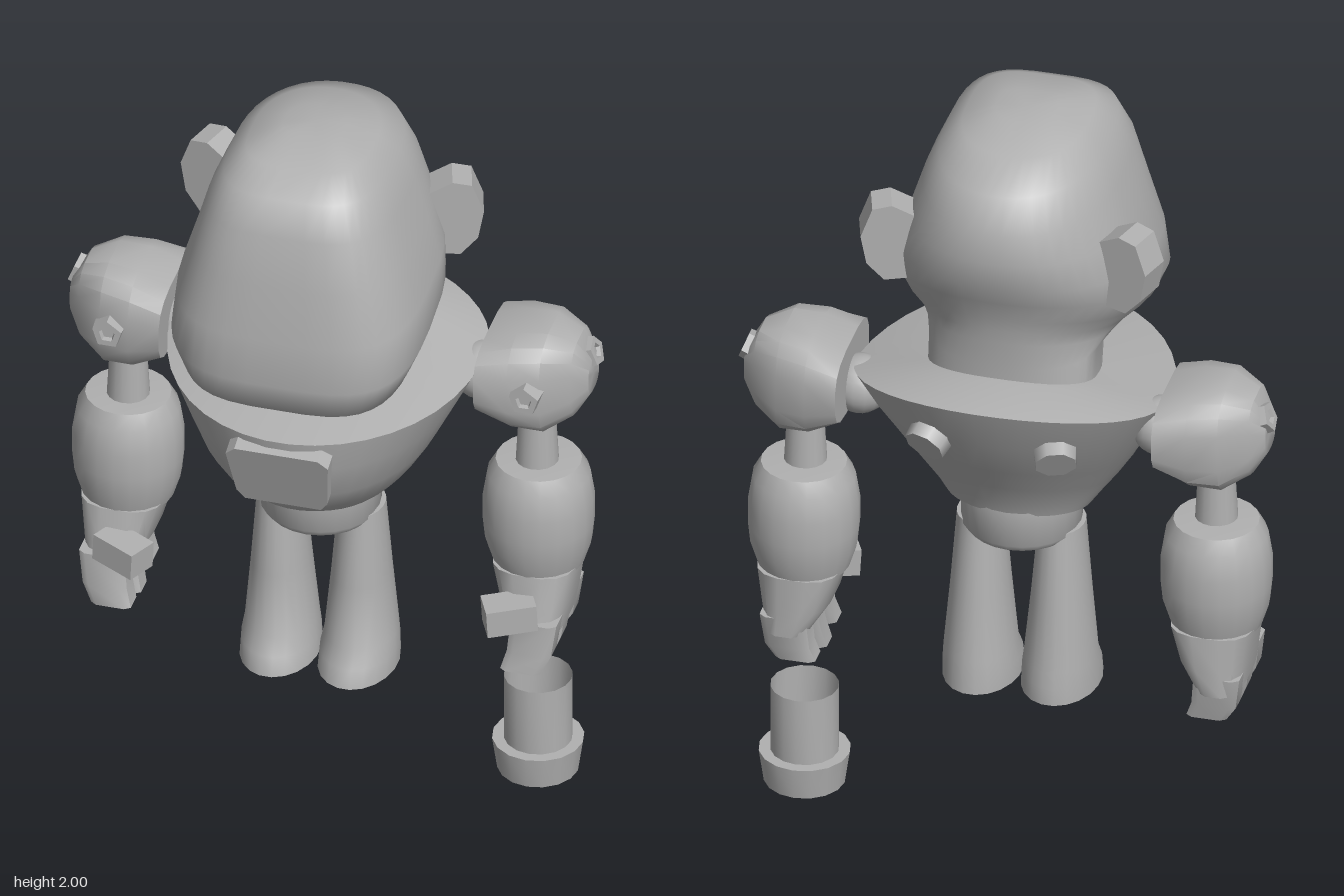
import * as THREE from 'three';
import { toCreasedNormals } from 'three/addons/utils/BufferGeometryUtils.js';

const spow = (v, p) => Math.sign(v) * Math.pow(Math.abs(v), p);

// Lofted skin through closed rings, bottom to top.
// Ring: [yFront, zFront, yBack, zBack, halfWidth, xCentre = 0]
function loft(rings, { seg = 32, nf = 2, nb = 2, mid = 0.5, bend = 1, crease = 0.7 } = {}) {
  const pos = [], index = [];
  for (const [yf, zf, yb, zb, w, cx = 0] of rings) {
    const zm = zb + (zf - zb) * mid;
    for (let j = 0; j < seg; j++) {
      const a = ((j + 0.5) / seg) * Math.PI * 2, s = Math.sin(a);
      const p = 2 / (s > 0 ? nf : nb);
      const z = zm + spow(s, p) * (s > 0 ? zf - zm : zm - zb);
      const t = Math.min(1, Math.max(0, (zf - z) / (zf - zb)));
      pos.push(cx + w * spow(Math.cos(a), p), yf + (yb - yf) * Math.pow(t, bend), z);
    }
  }
  const last = (rings.length - 1) * seg;
  for (let i = 0; i < last; i += seg) {
    for (let j = 0; j < seg; j++) {
      const k = (j + 1) % seg, a = i + j, b = i + k;
      index.push(a, a + seg, b, b, a + seg, b + seg);
    }
  }
  // end caps
  for (const r of [0, rings.length - 1]) {
    const [yf, zf, yb, zb, , cx = 0] = rings[r];
    const c = pos.length / 3;
    pos.push(cx, (yf + yb) / 2, (zf + zb) / 2);
    for (let j = 0; j < seg; j++) {
      const a = r * seg + j, b = r * seg + ((j + 1) % seg);
      if (r === 0) index.push(c, a, b); else index.push(c, b, a);
    }
  }
  const g = new THREE.BufferGeometry();
  g.setAttribute('position', new THREE.Float32BufferAttribute(pos, 3));
  g.setIndex(index);
  return toCreasedNormals(g, crease);
}

const lathe = (pts, seg) =>
  toCreasedNormals(new THREE.LatheGeometry(pts.map(([x, y]) => new THREE.Vector2(x, y)), seg), 0.7);

export function createModel() {
  const grey = new THREE.MeshStandardMaterial({ color: 0xb0b0b0, side: THREE.DoubleSide });
  grey.name = 'plain grey';
  const model = new THREE.Group();
  model.name = 'robot';

  function add(parent, name, geometry, x = 0, y = 0, z = 0) {
    const m = new THREE.Mesh(geometry, grey);
    m.name = name;
    m.position.set(x, y, z);
    parent.add(m);
    return m;
  }

  // Head with neck: boxy face, rounded back
  add(model, 'head', loft([
    [1.28, 0.03, 1.28, -0.25, 0.22],
    [1.40, 0.07, 1.38, -0.25, 0.22],
    [1.33, 0.25, 1.46, -0.26, 0.24],
    [1.31, 0.34, 1.50, -0.265, 0.26],
    [1.34, 0.385, 1.54, -0.275, 0.30],
    [1.42, 0.40, 1.60, -0.295, 0.332],
    [1.55, 0.39, 1.66, -0.325, 0.322],
    [1.70, 0.365, 1.74, -0.335, 0.285],
    [1.84, 0.34, 1.82, -0.325, 0.25],
    [1.93, 0.30, 1.91, -0.28, 0.21],
    [1.975, 0.22, 1.965, -0.17, 0.16],
    [2.0, 0.1, 1.995, -0.05, 0.08],
  ], { seg: 40, nf: 3.5, nb: 2.2, crease: 1.1 }));

  // Torso: egg-shaped bowl with a rim that rises at the back
  add(model, 'torso', loft([
    [0.89, 0.17, 0.89, -0.165, 0.19],
    [0.93, 0.23, 0.93, -0.18, 0.22],
    [0.98, 0.29, 1.00, -0.22, 0.26],
    [1.05, 0.34, 1.08, -0.27, 0.305],
    [1.15, 0.37, 1.20, -0.345, 0.36],
    [1.24, 0.385, 1.325, -0.398, 0.41],
    [1.30, 0.06, 1.35, -0.27, 0.24],
  ], { seg: 40, mid: 0.36, bend: 3 }));

  // Chest panel, leaning with the front of the torso
  const panel = new THREE.Shape([[-0.1, -0.1], [0.1, -0.1], [0.12, -0.07], [0.135, 0.08],
    [0.11, 0.105], [-0.11, 0.105], [-0.135, 0.08], [-0.12, -0.07]].map(p => new THREE.Vector2(...p)));
  add(model, 'chestPanel', new THREE.ExtrudeGeometry(panel, { depth: 0.06, bevelEnabled: false }),
    0, 1.13, 0.308).rotation.x = 0.33;

  // Waist
  add(model, 'waist', lathe([[0, 0], [0.14, 0], [0.155, 0.02], [0.155, 0.12]], 24), 0, 0.78, -0.02);

  // Loose tube with a flared cap, hollow at both ends
  add(model, 'looseTube', lathe([[0, 0.03], [0.075, 0.03], [0.085, 0], [0.105, 0],
    [0.118, 0.09], [0.088, 0.09], [0.088, 0.28]], 16), 0.54, 0, -0.138);

  // Everything that comes in pairs, built for +x
  for (const side of [1, -1]) {
    const half = new THREE.Group();
    half.name = side > 0 ? 'leftSide' : 'rightSide';
    half.scale.x = side;
    model.add(half);

    // Ear: rounded flap
    const earShape = new THREE.Shape([[-0.1, -0.1], [0.03, -0.11], [0.075, -0.06], [0.09, 0.02],
      [0.06, 0.1], [0.01, 0.11], [-0.1, 0.05]].map(p => new THREE.Vector2(...p)));
    add(half, 'ear', new THREE.ExtrudeGeometry(earShape, { depth: 0.09, bevelEnabled: false }),
      0.288, 1.67, -0.185).rotation.y = 0.3;

    // Back knob
    const knob = add(half, 'backKnob', new THREE.CylinderGeometry(0.055, 0.06, 0.06, 8), 0.165, 1.185, -0.315);
    knob.quaternion.setFromUnitVectors(new THREE.Vector3(0, 1, 0),
      new THREE.Vector3(0.3, -0.5, -0.9).normalize());

    // Leg with a slightly spread foot
    add(half, 'leg', loft([
      [0.33, 0.135, 0.33, -0.16, 0.102, 0.103],
      [0.38, 0.12, 0.38, -0.157, 0.1, 0.104],
      [0.42, 0.09, 0.42, -0.15, 0.094, 0.105],
      [0.60, 0.075, 0.60, -0.13, 0.077, 0.106],
      [0.81, 0.055, 0.81, -0.105, 0.06, 0.107],
    ], { seg: 20 }));

    // Shoulder joint and blocky shoulder, lofted sideways
    add(half, 'shoulderJoint', new THREE.SphereGeometry(0.078, 16, 12), 0.395, 1.2, -0.13);
    const shoulder = loft([
      [0.415, 0.03, 0.415, -0.31, 0.095, -1.24],
      [0.50, 0.02, 0.50, -0.30, 0.135, -1.23],
      [0.58, 0, 0.58, -0.28, 0.144, -1.228],
      [0.65, -0.05, 0.65, -0.235, 0.108, -1.235],
      [0.685, -0.095, 0.685, -0.195, 0.05, -1.235],
    ], { seg: 16, nf: 3.2, nb: 3.2, crease: 0.6 });
    add(half, 'shoulder', shoulder.rotateZ(-Math.PI / 2));

    // Five-sided bolts on the shoulder
    for (const [p, d] of [[[0.55, 1.235, 0.015], [0, 0, 1]], [[0.672, 1.285, -0.16], [1, 0.4, 0]]]) {
      const bolt = new THREE.Group();
      bolt.name = 'shoulderBolt';
      bolt.position.set(...p);
      bolt.quaternion.setFromUnitVectors(new THREE.Vector3(0, 1, 0), new THREE.Vector3(...d).normalize());
      half.add(bolt);
      add(bolt, 'boltRing', lathe([[0.044, -0.03], [0.04, 0.02], [0.022, 0.02], [0.018, 0.008], [0, 0.008]], 5))
        .rotation.y = Math.PI;
    }

    // Upper arm and forearm
    add(half, 'upperArm', new THREE.CylinderGeometry(0.046, 0.056, 0.18, 16), 0.54, 1.03, -0.13);
    add(half, 'forearm', lathe([[0, 0.65], [0.118, 0.65], [0.137, 0.71], [0.143, 0.77], [0.143, 0.84],
      [0.132, 0.91], [0.11, 0.95], [0, 0.957]], 20), 0.542, 0, -0.137);

    // Palm, three fingers and thumb
    add(half, 'palm', loft([
      [0.49, 0.02, 0.49, -0.265, 0.062, 0.565],
      [0.56, 0.005, 0.56, -0.265, 0.09, 0.55],
      [0.66, -0.015, 0.66, -0.26, 0.112, 0.543],
    ], { seg: 16, nf: 3, nb: 3 }));
    for (const [top, tip, low] of [[-0.02, 0.005, 0.4], [-0.115, -0.09, 0.385], [-0.215, -0.205, 0.41]]) {
      add(half, 'finger', loft([
        [low, tip + 0.038, low, tip - 0.038, 0.054, 0.54],
        [0.45, (top + tip) / 2 + 0.04, 0.45, (top + tip) / 2 - 0.04, 0.06, 0.56],
        [0.54, top + 0.045, 0.54, top - 0.045, 0.062, 0.57],
      ], { seg: 8, nf: 5, nb: 5 }));
    }
    add(half, 'thumb', new THREE.BoxGeometry(0.13, 0.075, 0.085), 0.51, 0.57, 0.025).rotation.set(0, 0.45, 0.06);
  }
  return model;
}
